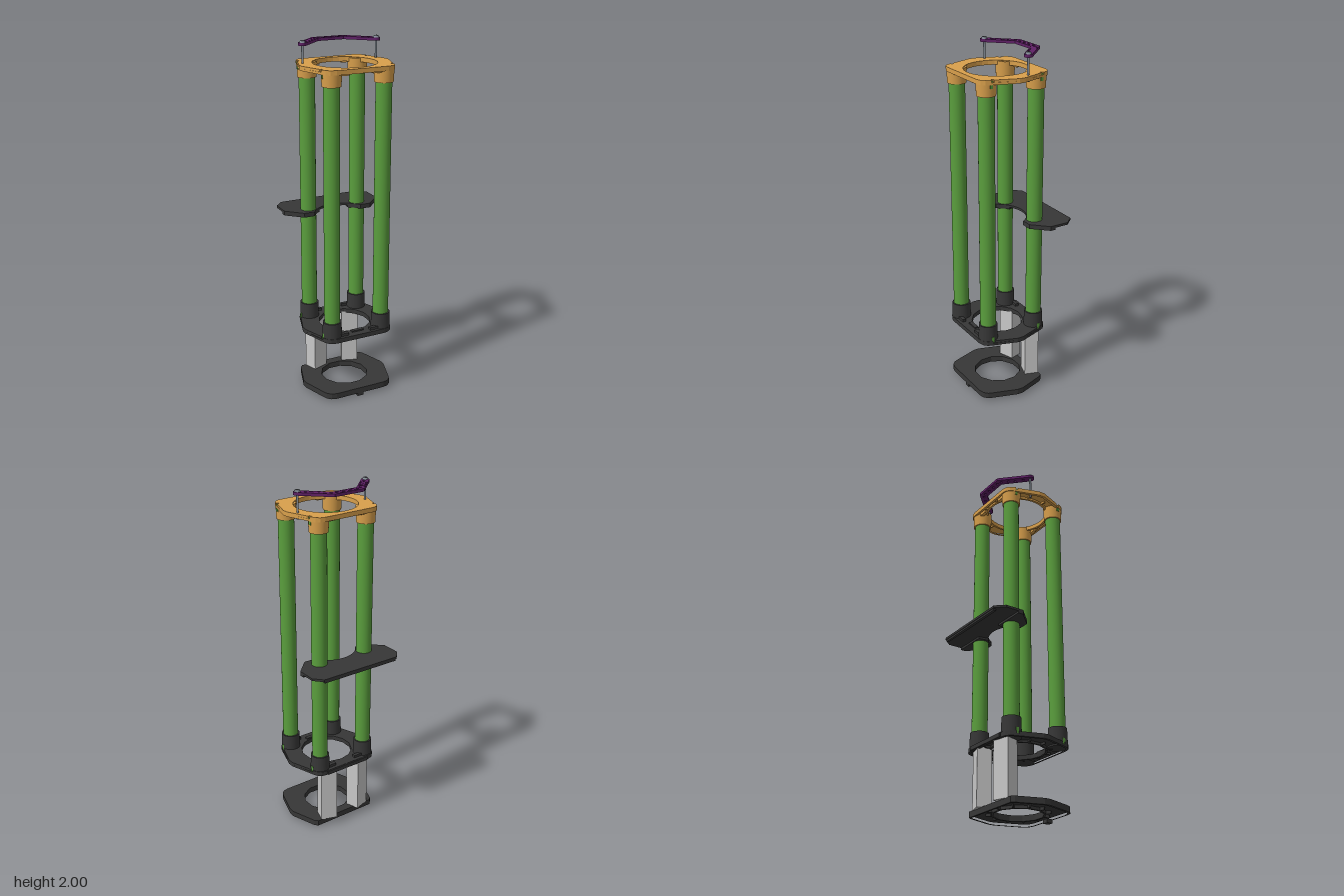
import * as THREE from 'three';

const mat = (name, color, side = THREE.FrontSide) => {
  const m = new THREE.MeshStandardMaterial({ color, side });
  m.name = name;
  return m;
};
const CZ = 0.0575; // z of the frame axis
const POSTS = [[-0.152, 0.21], [0.152, 0.21], [-0.152, -0.092], [0.152, -0.092]];

export function createModel() {
  const root = new THREE.Group();
  root.name = 'tubeFrame';
  const green = mat('green', 0x5a9e3d), tan = mat('tan', 0xd9a04c), black = mat('black', 0x373737);
  const purple = mat('purple', 0x5f2066), silver = mat('silver', 0xc8c8c8), steel = mat('steel', 0x87909a);

  const add = (name, geo, m, x = 0, y = 0, z = 0, parent = root) => {
    const mesh = new THREE.Mesh(geo, m);
    mesh.name = name;
    mesh.position.set(x, y, z);
    parent.add(mesh);
    return mesh;
  };
  const box = (name, w, h, d, m, x, y, z, parent) => add(name, new THREE.BoxGeometry(w, h, d), m, x, y, z, parent);
  // flat slab from a plan in (x, z), top face at y
  const slab = (name, shape, top, h, m, parent) => {
    const g = new THREE.ExtrudeGeometry(shape, { depth: h, bevelEnabled: false, curveSegments: 10 });
    g.rotateX(Math.PI / 2);
    return add(name, g, m, 0, top, 0, parent);
  };
  // closed plan from the points of its +x half
  const mirrored = half => [...half, ...half.slice().reverse().map(([x, z]) => [-x, z])].map(p => new THREE.Vector2(...p));
  const ngon = (r, n) => Array.from({ length: n }, (_, i) => {
    const a = (i + 0.5) / n * Math.PI * 2;
    return new THREE.Vector2(r * Math.cos(a), CZ + r * Math.sin(a));
  });
  const shapeOf = (pts, ...holes) => {
    const s = new THREE.Shape(pts);
    holes.forEach(h => s.holes.push(new THREE.Path(h)));
    return s;
  };
  const inset = (pts, k) => pts.map(p => new THREE.Vector2(p.x * k, CZ + (p.y - CZ) * k));

  const frontHalf = [[0.15, 0.267], [0.18, 0.259], [0.2, 0.24], [0.21, 0.215]];
  const notch = z => [[0.212, z + 0.008], [0.199, z + 0.008], [0.199, z - 0.008], [0.212, z - 0.008]];
  const middle = [[0.255, 0.075], [0.255, 0.04]];
  const backHalf = [[0.205, -0.112], [0.196, -0.13], [0.178, -0.146], [0.15, -0.152]];
  const fullPlan = mirrored([...frontHalf, ...notch(0.205), ...middle, ...notch(-0.092), ...backHalf]);
  const plainPlan = mirrored([...frontHalf, ...middle, ...backHalf]);
  const bottomPlan = mirrored([...frontHalf, ...middle, [0.206, -0.108], [0.19, -0.125]]);

  // deck with a rim, an inner ring and radial ribs underneath
  const frame = (name, plan, rimPlan, holeR, sides, top, h, m) => {
    const g = new THREE.Group();
    g.name = name;
    root.add(g);
    const deck = h * 0.5;
    slab('deck', shapeOf(plan, ngon(holeR, sides)), top, deck, m, g);
    slab('rim', shapeOf(rimPlan, inset(rimPlan, 0.94)), top - deck, h - deck, m, g);
    slab('innerRing', shapeOf(ngon(holeR + 0.012, sides), ngon(holeR, sides)), top - deck, h - deck, m, g);
    for (let i = 0; i < 12; i++) {
      const a = (i + 0.5) / 12 * Math.PI * 2, r = holeR + 0.02;
      const rib = box('rib', 0.035, h - deck, 0.008, m, r * Math.cos(a), top - deck - (h - deck) / 2, CZ + r * Math.sin(a), g);
      rib.rotation.y = -a;
    }
    return g;
  };

  // bottom, middle and top frames
  frame('bottomFrame', bottomPlan, bottomPlan, 0.135, 12, 0.05, 0.033, black);
  box('bottomFrontTab', 0.035, 0.022, 0.035, black, 0, 0.011, 0.249);
  const mid = frame('middleFrame', fullPlan, plainPlan, 0.148, 14, 0.39, 0.026, black);
  box('frontTab', 0.07, 0.01, 0.022, black, 0, 0.393, 0.217, mid);
  box('backTab', 0.28, 0.022, 0.012, black, 0, 0.377, -0.154, mid);
  frame('topFrame', fullPlan, plainPlan, 0.174, 32, 1.88, 0.025, tan);

  // four tubes held in sockets
  for (const [x, z] of POSTS) {
    const side = Math.sign(x);
    add('tube', new THREE.CylinderGeometry(0.044, 0.044, 1.49, 32), green, x, 1.115, z);
    add('lowerSocket', new THREE.CylinderGeometry(0.052, 0.055, 0.11, 32), black, x, 0.423, z);
    add('upperSocket', new THREE.CylinderGeometry(0.055, 0.051, 0.085, 32), tan, x, 1.833, z);
    box('lowerSlot', 0.004, 0.045, 0.015, green, x + side * 0.0535, 0.39, z);
    box('upperSlot', 0.004, 0.04, 0.015, green, x + side * 0.0535, 1.855, z);
    // gussets running from the socket along the front and side edges
    const toFront = Math.sign(z - CZ);
    box('lowerGusset', 0.05, 0.02, 0.02, black, x - side * 0.06, 0.396, z + toFront * 0.03);
    box('upperGusset', 0.05, 0.02, 0.02, tan, x - side * 0.06, 1.856, z + toFront * 0.03);
  }

  // rectangular pillars turned towards the middle
  for (const s of [-1, 1]) {
    const p = box('pillar', 0.095, 0.325, 0.08, silver, s * 0.108, 0.21, -0.1);
    p.rotation.y = -s * 0.33;
  }

  // rear shelf with a curved front edge, tube clamps and a back lip
  const arc = (from, to) => Array.from({ length: 9 }, (_, i) => {
    const a = from + (to - from) * i / 8;
    return [0.165 * Math.cos(a), CZ + 0.165 * Math.sin(a)];
  });
  const shelf = new THREE.Group();
  shelf.name = 'shelf';
  root.add(shelf);
  const shelfHalf = [...arc(-Math.PI / 2 + 0.02, -Math.PI / 6), [0.205, -0.025], [0.29, -0.11], [0.29, -0.22], [0.245, -0.27]];
  slab('shelfDeck', shapeOf(mirrored(shelfHalf)), 1.045, 0.013, black, shelf);
  for (const s of [-1, 1]) {
    const clamp = [...arc(-1.0, -Math.PI / 6), [0.205, -0.025], [0.29, -0.11], [0.29, -0.14], [0.1, -0.14]];
    slab('tubeClamp', shapeOf(clamp.map(([x, z]) => new THREE.Vector2(s * x, z))), 1.032, 0.012, black, shelf);
  }
  box('backLip', 0.48, 0.012, 0.015, black, 0, 1.027, -0.259, shelf);

  // perforated handle: base layer with holes, upper layer with pockets as well
  const handlePlan = () => {
    const s = new THREE.Shape();
    s.moveTo(-0.094, -0.152);
    s.lineTo(0.094, -0.152);
    s.absarc(0.217, 0, 0.022, -Math.PI / 4, Math.PI * 0.75, false);
    s.lineTo(0.076, -0.108);
    s.lineTo(-0.076, -0.108);
    s.absarc(-0.217, 0, 0.022, Math.PI / 4, Math.PI * 1.25, false);
    s.closePath();
    return s;
  };
  const cut = (s, x, z, rx, rz, turn = 0) => {
    const p = new THREE.Path();
    p.absellipse(x, z, rx, rz, 0, Math.PI * 2, false, turn);
    s.holes.push(p);
  };
  const base = handlePlan(), upper = handlePlan();
  const holes = [[0.022, -0.13], [0.065, -0.13], [0.093, -0.121], [0.124, -0.091], [0.147, -0.06], [0.186, -0.028]];
  for (const s of [-1, 1]) {
    for (const [x, z] of holes) [base, upper].forEach(p => cut(p, s * x, z, 0.008, 0.008));
    for (const e of [-1, 1]) {
      cut(upper, s * 0.044, -0.13 + e * 0.014, 0.011, 0.004);
      for (const t of [0.115, 0.142, 0.168]) cut(upper, s * (t + e * 0.01), t - 0.217 - e * 0.01, 0.011, 0.004, s * Math.PI / 4);
    }
  }
  cut(upper, 0, -0.116, 0.011, 0.004);
  cut(upper, 0, -0.144, 0.011, 0.004);
  slab('handleBase', base, 1.985, 0.012, purple);
  slab('handleTop', upper, 1.989, 0.004, purple);

  // screws carrying the handle
  for (const s of [-1, 1]) {
    add('screwShaft', new THREE.CylinderGeometry(0.006, 0.006, 0.14, 16), steel, s * 0.217, 1.915, 0);
    add('screwHead', new THREE.CylinderGeometry(0.012, 0.018, 0.014, 24), steel, s * 0.217, 1.992, 0);
    for (const t of [-1, 1]) {
      box('screwCross', 0.019, 0.001, 0.004, black, s * 0.217, 1.9995, 0).rotation.y = t * Math.PI / 4;
    }
  }
  return root;
}
